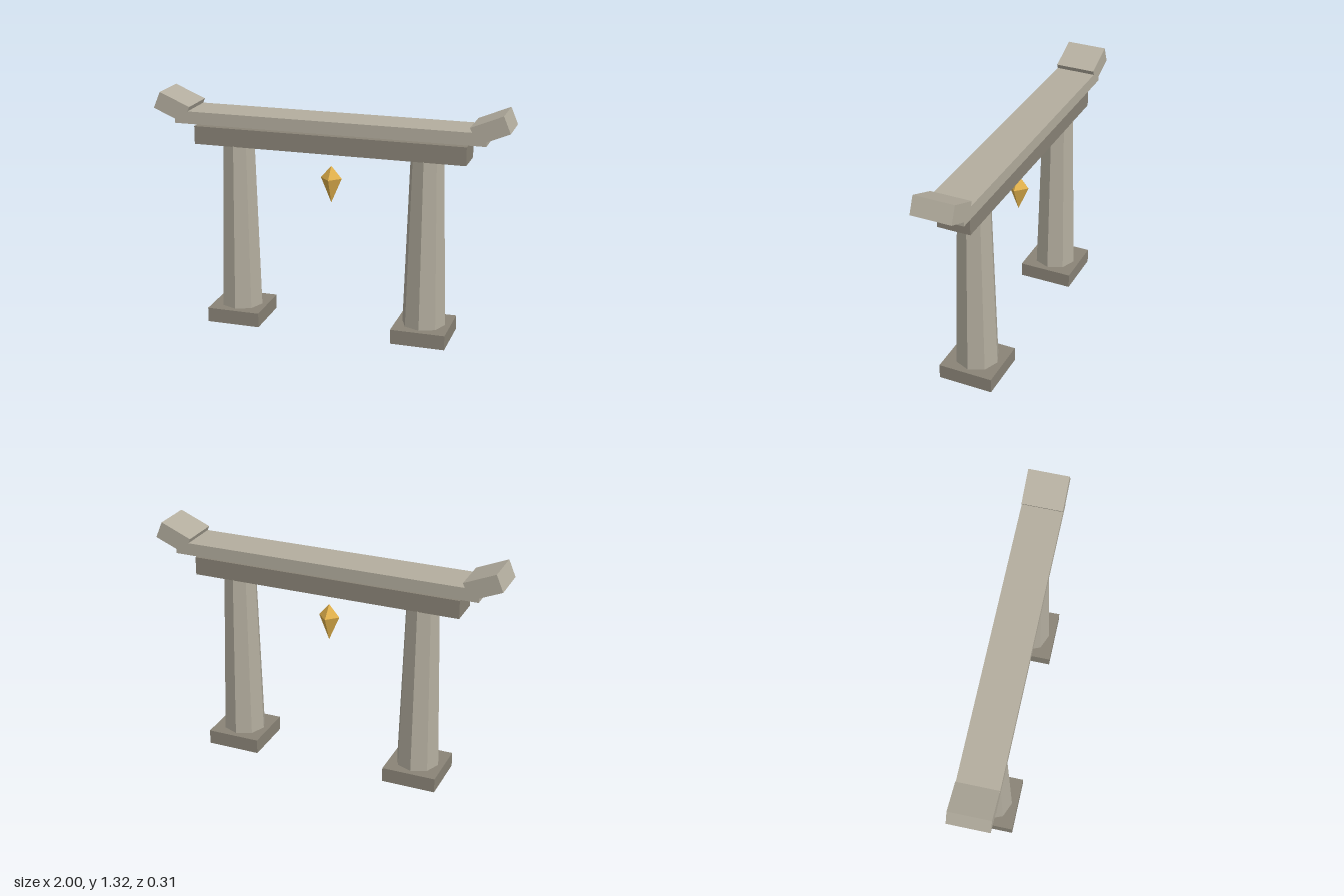
import * as THREE from 'three';

const material = (name, color) => {
  const m = new THREE.MeshStandardMaterial({ color, flatShading: true });
  m.name = name;
  return m;
};

export function createModel() {
  const group = new THREE.Group();
  group.name = 'stoneGate';
  const lightStone = material('lightStone', 0xb4ae9f);
  const darkStone = material('darkStone', 0x8a8477);
  const gold = material('gold', 0xe0b04c);

  const add = (name, geometry, mat, x, y, z = 0) => {
    const mesh = new THREE.Mesh(geometry, mat);
    mesh.name = name;
    mesh.position.set(x, y, z);
    group.add(mesh);
    return mesh;
  };

  for (const [side, s] of [['left', 1], ['right', -1]]) {
    // Square footing and tapered octagonal column
    add(side + 'Footing', new THREE.BoxGeometry(0.306, 0.083, 0.31), darkStone, s * 0.54, 0.0415);
    add(side + 'Column', new THREE.CylinderGeometry(0.093, 0.124, 1.03, 8), lightStone, s * 0.54, 0.525);
    // Upturned end of the top beam
    const tip = add(side + 'BeamTip', new THREE.BoxGeometry(0.189, 0.1, 0.226), lightStone, s * 0.893, 1.239);
    tip.rotation.z = s * 0.4;
  }

  // Two cross beams with a narrow gap between them
  add('lowerBeam', new THREE.BoxGeometry(1.538, 0.102, 0.184), darkStone, 0, 1.086);
  add('upperBeam', new THREE.BoxGeometry(1.75, 0.07, 0.226), lightStone, 0, 1.188);

  // Four-sided floating gem with a longer lower point
  const profile = [[0, -0.141], [0.06, 0], [0, 0.07]].map(([x, y]) => new THREE.Vector2(x, y));
  add('gem', new THREE.LatheGeometry(profile, 4), gold, 0, 0.878);

  return group;
}
